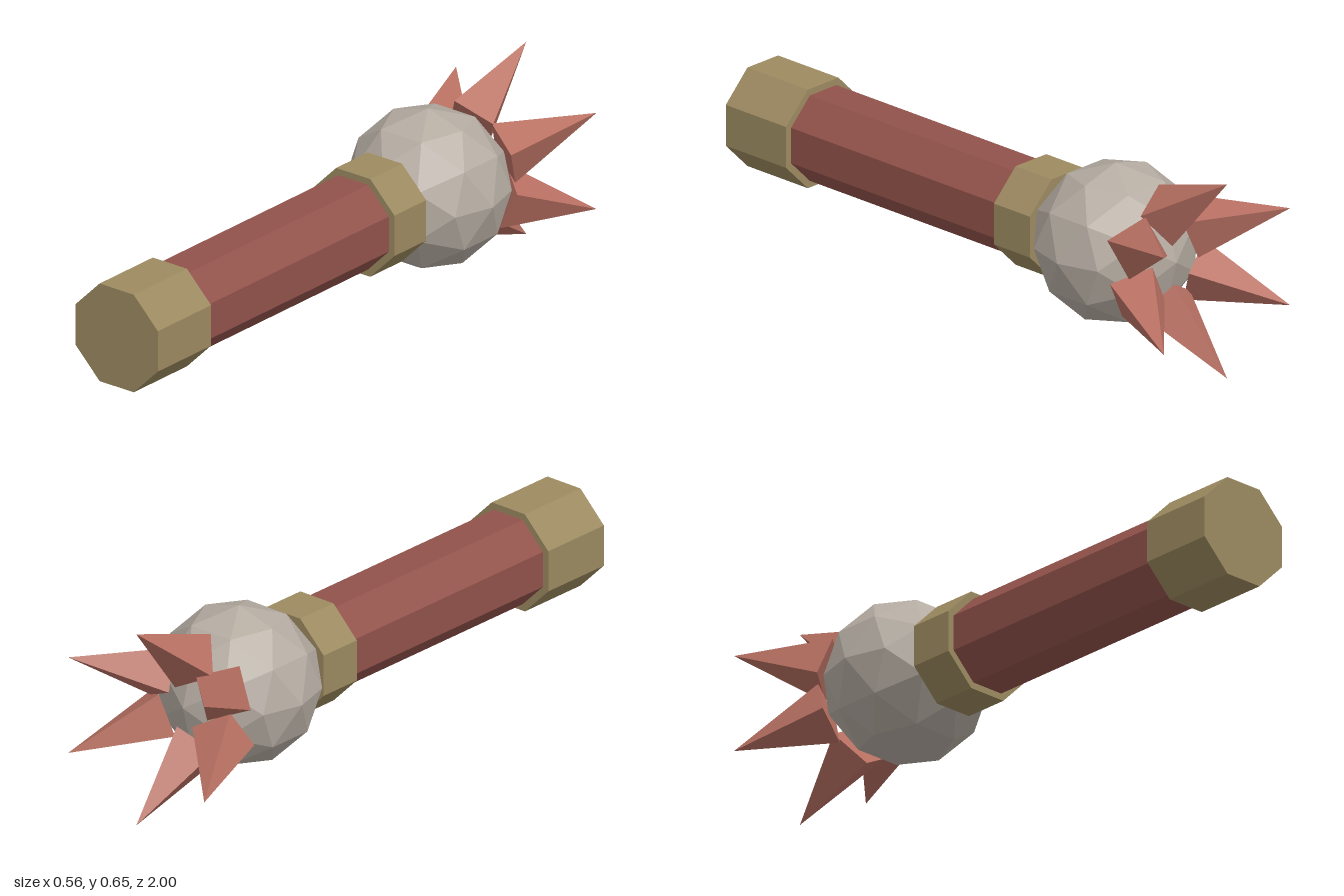
import * as THREE from 'three';

export function createModel() {
  const group = new THREE.Group();
  const CY = 0.328;
  const mat = (name, color) => {
    const m = new THREE.MeshStandardMaterial({ color, flatShading: true });
    m.name = name;
    return m;
  };
  const red = mat('grip red', 0x91524a);
  const brass = mat('dull brass', 0x9c8a60);
  const stone = mat('pale stone', 0xb5aca2);
  const coral = mat('spike coral', 0xb87062);

  const add = (name, geometry, material) => {
    const mesh = new THREE.Mesh(geometry, material);
    mesh.name = name;
    group.add(mesh);
    return mesh;
  };

  // Octagonal bar along z, flat sides up and down
  const bar = (name, apothem, z0, z1, material) => {
    const r = apothem / Math.cos(Math.PI / 8);
    const g = new THREE.CylinderGeometry(r, r, z1 - z0, 8);
    g.rotateY(Math.PI / 8).rotateX(Math.PI / 2);
    add(name, g, material).position.set(0, CY, (z0 + z1) / 2);
  };
  bar('handle', 0.143, -0.16, 0.75, red);
  bar('pommel', 0.165, 0.74, 1, brass);
  bar('collar', 0.165, -0.31, -0.155, brass);

  // Faceted head
  const head = new THREE.Vector3(0, CY, -0.52);
  add('head', new THREE.IcosahedronGeometry(0.262, 1), stone).position.copy(head);

  // Ring of six four-sided spikes, each with its own twist in degrees
  const up = new THREE.Vector3(0, 1, 0);
  [40, -15, 3, 15, 10, 35].forEach((twist, i) => {
    const a = Math.PI / 6 + (i * Math.PI) / 3;
    const tip = new THREE.Vector3(0.325 * Math.cos(a), 0.325 * Math.sin(a), -0.48);
    const g = new THREE.ConeGeometry(0.1, 0.32, 4);
    g.rotateY(THREE.MathUtils.degToRad(twist)).translate(0, tip.length() - 0.16, 0);
    const spike = add('spike' + (i + 1), g, coral);
    spike.quaternion.setFromUnitVectors(up, tip.clone().normalize());
    spike.position.copy(head);
  });

  return group;
}
